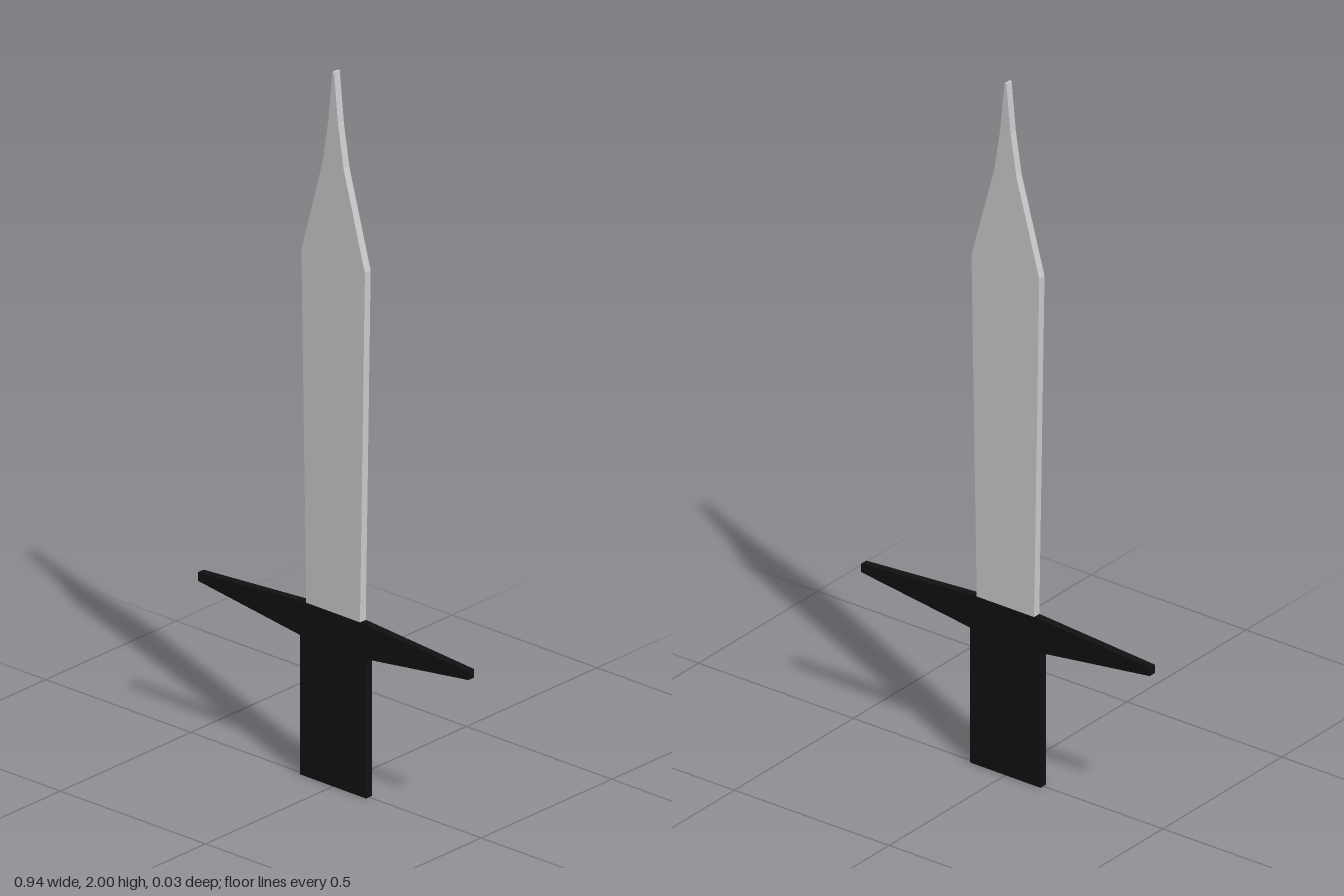
import * as THREE from 'three';

const THICKNESS = 0.022;

// Flat plate: right-hand outline points (bottom to top), mirrored across x = 0
function plate(name, half, color) {
  const points = [
    ...half.map(([x, y]) => new THREE.Vector2(x, y)),
    ...half.slice().reverse().map(([x, y]) => new THREE.Vector2(-x, y)),
  ];
  const geometry = new THREE.ExtrudeGeometry(new THREE.Shape(points), {
    depth: THICKNESS,
    bevelEnabled: false,
  });
  geometry.translate(0, 0, -THICKNESS / 2);
  const mesh = new THREE.Mesh(geometry, new THREE.MeshStandardMaterial({ color }));
  mesh.name = name;
  return mesh;
}

export function createModel() {
  const group = new THREE.Group();
  group.name = 'sword';

  // Blade widens upward, then sweeps in to a drawn-out tip
  group.add(plate('blade', [
    [0.093, 0.487], [0.11, 1.47], [0.036, 1.74], [0.017, 1.86], [0.003, 2],
  ], 0xcccccc));

  // Crossguard tapers to blunt ends
  group.add(plate('crossguard', [
    [0.113, 0.39], [0.468, 0.437], [0.468, 0.461], [0.1, 0.487],
  ], 0x111111));

  // Plain slab grip
  group.add(plate('grip', [[0.114, 0], [0.114, 0.39]], 0x111111));

  // Very slight twist about the upright axis
  group.rotation.y = -0.005;
  return group;
}
